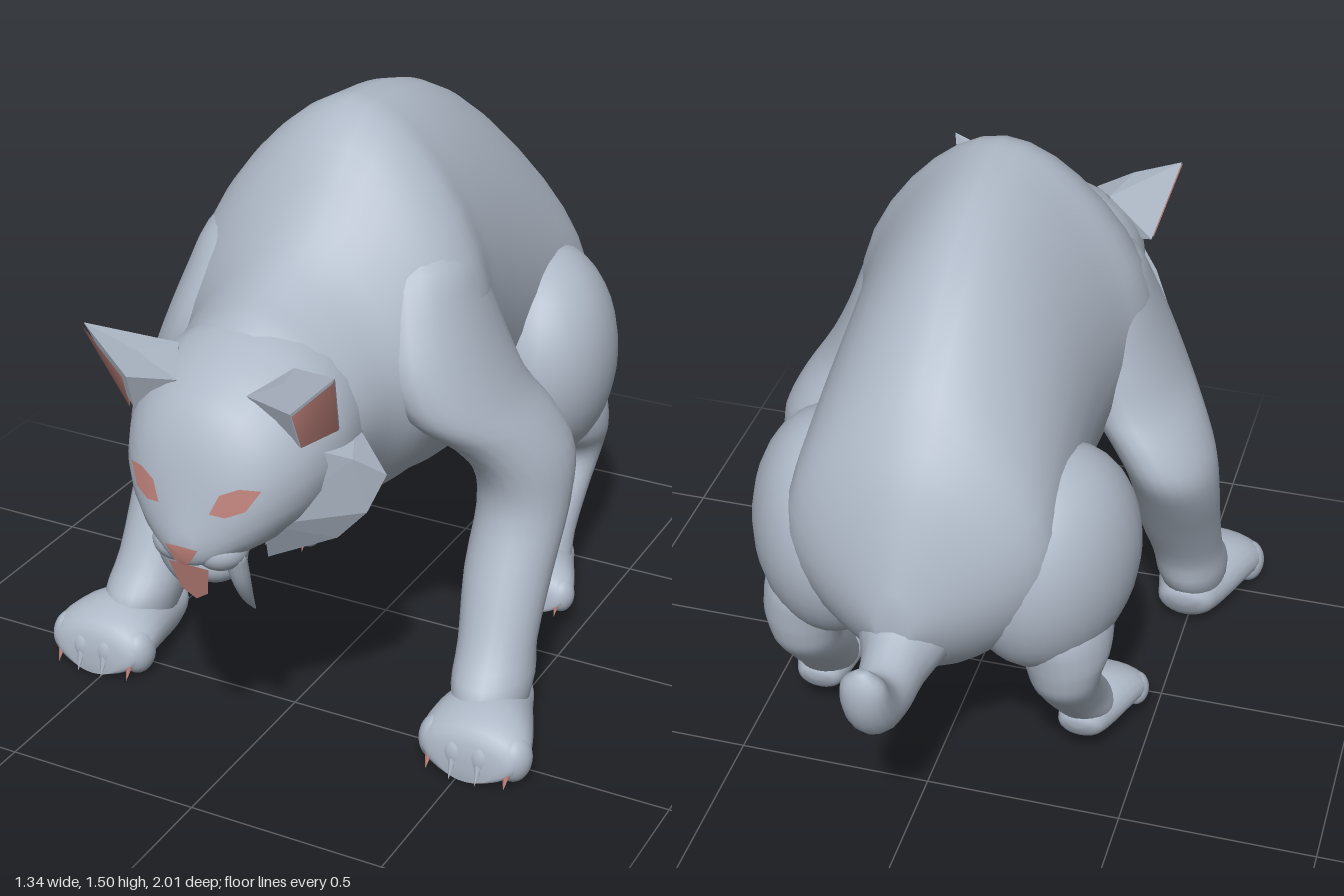
import * as THREE from 'three';
import { ConvexGeometry } from 'three/addons/geometries/ConvexGeometry.js';

const fur = new THREE.MeshStandardMaterial({ color: 0xaeb8c6, side: THREE.DoubleSide });
fur.name = 'blue grey fur';
const pink = new THREE.MeshStandardMaterial({ color: 0xbf827b, side: THREE.DoubleSide });
pink.name = 'pink skin';

const V = (x, y, z) => new THREE.Vector3(x, y, z);

// Smooth skin over elliptical rings. Station: [x, y, z, rx, rv, angle];
// rv is measured along (0, cos angle, sin angle). Pinch sharpens top and bottom.
function loft(stations, { angle = 0, pinch = 0, sides = 24, steps = 3 } = {}) {
  const rows = [], last = stations.length - 1;
  const cr = (a, b, c, d, t) => b + 0.5 * t * (c - a + t * (2 * a - 5 * b + 4 * c - d + t * (3 * (b - c) + d - a)));
  for (let i = 0; i < last; i++) {
    for (let k = 0; k < steps; k++) {
      const [a, b, c, d] = [i - 1, i, i + 1, i + 2].map(n => stations[Math.min(last, Math.max(0, n))]);
      rows.push(b.map((_, j) => cr(a[j], b[j], c[j], d[j], k / steps)));
    }
  }
  rows.push(stations[last]);
  const pos = [], idx = [], n = rows.length;
  for (const [x, y, z, rx, rv, tilt = angle] of rows) {
    for (let j = 0; j < sides; j++) {
      const t = j / sides * Math.PI * 2, s = Math.sin(t);
      const u = Math.max(rx, 0.001) * Math.cos(t) * (1 - pinch * s * s), v = Math.max(rv, 0.001) * s;
      pos.push(x + u, y + v * Math.cos(tilt), z + v * Math.sin(tilt));
    }
  }
  for (let i = 0; i < n - 1; i++) {
    for (let j = 0; j < sides; j++) {
      const a = i * sides + j, b = i * sides + (j + 1) % sides;
      idx.push(a, b, a + sides, b, b + sides, a + sides);
    }
  }
  // end caps
  const first = pos.length / 3;
  pos.push(...rows[0].slice(0, 3), ...rows[n - 1].slice(0, 3));
  for (let j = 0; j < sides; j++) {
    const k = (j + 1) % sides, e = (n - 1) * sides;
    idx.push(first, k, j, first + 1, e + j, e + k);
  }
  // make the faces point outward whichever way the stations run
  let volume = 0;
  const at = i => V(pos[i * 3], pos[i * 3 + 1], pos[i * 3 + 2]);
  for (let i = 0; i < idx.length; i += 3) volume += at(idx[i]).dot(at(idx[i + 1]).cross(at(idx[i + 2])));
  if (volume < 0) idx.reverse();
  const g = new THREE.BufferGeometry();
  g.setAttribute('position', new THREE.Float32BufferAttribute(pos, 3));
  g.setIndex(idx);
  g.computeVertexNormals();
  return g;
}

// Thin face patch from a fan of points
function fan(points) {
  const g = new THREE.BufferGeometry().setFromPoints(points);
  const idx = [];
  for (let i = 1; i < points.length - 1; i++) idx.push(0, i, i + 1);
  g.setIndex(idx);
  g.computeVertexNormals();
  return g;
}

export function createModel() {
  const model = new THREE.Group();
  const add = (name, geometry, material = fur) => {
    const m = new THREE.Mesh(geometry, material);
    m.name = name;
    model.add(m);
    return m;
  };
  const ball = (name, x, y, z, rx, ry, rz, turn = 0) =>
    add(name, new THREE.SphereGeometry(1, 28, 20).scale(rx, ry, rz).rotateY(turn).translate(x, y, z));

  // Torso: [z, top, bottom, half width]
  const torso = [
    [0.82, 0.98, 0.72, 0.12], [0.75, 1.08, 0.65, 0.2], [0.68, 1.135, 0.63, 0.245], [0.6, 1.165, 0.615, 0.265],
    [0.5, 1.22, 0.56, 0.29], [0.4, 1.31, 0.53, 0.345], [0.3, 1.43, 0.51, 0.38], [0.2, 1.495, 0.49, 0.38],
    [0.1, 1.5, 0.46, 0.35], [-0.05, 1.48, 0.42, 0.33], [-0.2, 1.43, 0.4, 0.325], [-0.35, 1.345, 0.385, 0.33],
    [-0.5, 1.22, 0.405, 0.335], [-0.58, 1.125, 0.45, 0.31], [-0.65, 1.02, 0.51, 0.23], [-0.71, 0.88, 0.57, 0.12],
    [-0.75, 0.75, 0.62, 0.04]];
  add('torso', loft(torso.map(([z, t, b, w]) => [0, (t + b) / 2, z, w, (t - b) / 2]), { pinch: 0.24, sides: 32 }));

  // Short upturned tail
  add('tail', loft([
    [0, 0.66, -0.6, 0.15, 0.15, 0], [0, 0.62, -0.68, 0.11, 0.12, 0], [0, 0.59, -0.75, 0.08, 0.1, 0.1],
    [0, 0.57, -0.83, 0.07, 0.08, 0.1], [0, 0.59, -0.9, 0.065, 0.07, 0.6], [0, 0.65, -0.95, 0.06, 0.055, 1],
    [0, 0.71, -0.972, 0.05, 0.035, 1.3], [0, 0.745, -0.975, 0.015, 0.012, 1.5]], { sides: 16 }));

  // Head and muzzle
  const head = add('head', loft([
    [0, 0.88, 0.56, 0.25, 0.24], [0, 0.875, 0.68, 0.265, 0.245], [0, 0.86, 0.78, 0.25, 0.225],
    [0, 0.84, 0.85, 0.225, 0.205], [0, 0.815, 0.91, 0.185, 0.18], [0, 0.775, 0.955, 0.13, 0.135],
    [0, 0.72, 0.985, 0.065, 0.07], [0, 0.7, 1, 0.025, 0.025]]));
  const muzzle = [-1, 1].map(s => ball('muzzlePad', s * 0.052, 0.675, 0.915, 0.065, 0.052, 0.065));
  ball('lowerJaw', 0, 0.61, 0.855, 0.075, 0.06, 0.075);
  add('mouth', fan([V(-0.052, 0.642, 0.972), V(-0.035, 0.565, 0.95), V(0, 0.54, 0.943),
    V(0.035, 0.565, 0.95), V(0.052, 0.642, 0.972)]), pink);

  // Place points just in front of the face
  const ray = new THREE.Raycaster();
  const onFace = (x, y) => {
    ray.set(V(x, y, 2), V(0, 0, -1));
    const hit = ray.intersectObjects([head, ...muzzle])[0];
    return V(x, y, (hit ? hit.point.z : 0.93) + 0.006);
  };
  add('nose', fan([onFace(0, 0.685), onFace(-0.042, 0.702), onFace(-0.02, 0.665), onFace(0, 0.65),
    onFace(0.02, 0.665), onFace(0.042, 0.702), onFace(0, 0.707), onFace(-0.042, 0.702)]), pink);

  for (const s of [-1, 1]) {
    const side = s > 0 ? 'left' : 'right';
    const P = ([x, y, z]) => V(s * x, y, z);
    const L = (rows, opts) => loft(rows.map(([x, ...r]) => [s * x, ...r]), opts);
    const flat = { angle: Math.PI / 2 };

    // Eye and heavy brow above it
    const eye = [[0.112, 0.82], [0.065, 0.792], [0.1, 0.787], [0.14, 0.802], [0.168, 0.848], [0.125, 0.854], [0.085, 0.838], [0.065, 0.792]];
    add(side + 'Eye', fan(eye.map(([x, y]) => onFace(s * x, y))), pink);
    add(side + 'Brow', L([[0.045, 0.85, 0.945, 0.012, 0.012], [0.1, 0.878, 0.93, 0.03, 0.018],
      [0.18, 0.88, 0.885, 0.012, 0.012]], { sides: 10 }));

    // Ear with pink lining on its outward face
    const tip = [0.32, 1.13, 0.865], A = [0.21, 1.02, 0.87], B = [0.215, 0.925, 0.835], C = [0.268, 0.945, 0.75];
    add(side + 'Ear', new ConvexGeometry([tip, A, B, C, [0.19, 1.085, 0.855], [0.09, 1.03, 0.85], [0.15, 1.065, 0.74], [0.14, 0.93, 0.76]].map(P)));
    const inset = ([x, y, z]) => P([0.25 + (x - 0.25) * 0.95 + 0.005, 1.0 + (y - 1.0) * 0.95, 0.835 + (z - 0.835) * 0.95 + 0.007]);
    add(side + 'EarLining', fan([B, C, tip, A].map(inset)), pink);

    // Cheek ruff
    add(side + 'Cheek', new ConvexGeometry([[0.34, 0.805, 0.66], [0.31, 0.72, 0.7], [0.25, 0.655, 0.73], [0.2, 0.925, 0.83],
      [0.15, 0.74, 0.89], [0.13, 0.63, 0.84], [0.24, 0.9, 0.62], [0.29, 0.865, 0.73], [0.2, 0.64, 0.66]].map(P)));

    // Long fang
    add(side + 'Fang', L([[0.09, 0.67, 0.92, 0.026, 0.028], [0.09, 0.59, 0.895, 0.021, 0.024],
      [0.082, 0.52, 0.855, 0.013, 0.016], [0.075, 0.463, 0.81, 0.002, 0.002]], { ...flat, sides: 10 }));

    // Front leg from broad shoulder to wrist
    add(side + 'FrontLeg', L([
      [0.2, 1.24, 0.25, 0.07, 0.06], [0.22, 1.17, 0.25, 0.12, 0.14], [0.25, 1.08, 0.255, 0.125, 0.19],
      [0.285, 0.96, 0.265, 0.135, 0.225], [0.34, 0.84, 0.25, 0.135, 0.225], [0.41, 0.75, 0.195, 0.125, 0.195],
      [0.46, 0.66, 0.165, 0.117, 0.167], [0.475, 0.55, 0.19, 0.112, 0.13], [0.474, 0.4, 0.27, 0.108, 0.115],
      [0.485, 0.25, 0.35, 0.095, 0.108], [0.495, 0.16, 0.395, 0.095, 0.135], [0.5, 0.08, 0.42, 0.08, 0.1]], flat));

    // Hind leg: haunch, shank and hock
    ball(side + 'Haunch', s * 0.28, 0.685, -0.36, 0.197, 0.292, 0.265, s * 0.35);
    add(side + 'HindLeg', L([
      [0.29, 0.66, -0.36, 0.06, 0.1], [0.31, 0.56, -0.38, 0.12, 0.16], [0.33, 0.47, -0.405, 0.115, 0.135],
      [0.335, 0.41, -0.43, 0.095, 0.1], [0.335, 0.36, -0.42, 0.085, 0.092], [0.335, 0.29, -0.36, 0.08, 0.095],
      [0.34, 0.2, -0.28, 0.075, 0.095], [0.35, 0.13, -0.225, 0.075, 0.085], [0.35, 0.08, -0.2, 0.05, 0.05]], flat));

    // Paws: [name, centre x, floor, toe z, scale]; rings are [dx, back from toe, half width, half height, lift]
    for (const [name, px, floor, toe, k] of [['Front', 0.525, 0.005, 0.625, 1], ['Hind', 0.375, 0.062, -0.068, 0.78]]) {
      const ring = ([dx, dz, rx, ry, lift = 0]) => [px + dx * k, floor + (ry + lift) * k, toe - dz * k, rx * k, ry * k];
      add(side + name + 'Paw', L([[-0.03, 0.35, 0.03, 0.02, 0.09], [-0.03, 0.32, 0.07, 0.05, 0.035], [-0.025, 0.26, 0.09, 0.075],
        [-0.01, 0.15, 0.125, 0.085], [0, 0.07, 0.14, 0.077], [0, 0.02, 0.12, 0.06], [0, 0.005, 0.06, 0.03]].map(ring)));
      for (let i = 0; i < 4; i++) {
        const e = i - 1.5, z = toe - (0.045 + Math.abs(e) * 0.015) * k, x = s * (px + e * 0.068 * k);
        ball(side + name + 'Toe', x, floor + 0.062 * k, z, 0.043 * k, 0.06 * k, 0.05 * k);
        const claw = new THREE.ConeGeometry(0.013 * k, 0.055 * k, 8).rotateX(Math.PI * 0.85);
        add(side + name + 'Claw', claw.translate(x, floor + 0.03 * k, z + 0.05 * k), Math.abs(e) > 1 ? pink : fur);
      }
    }
  }
  return model;
}
